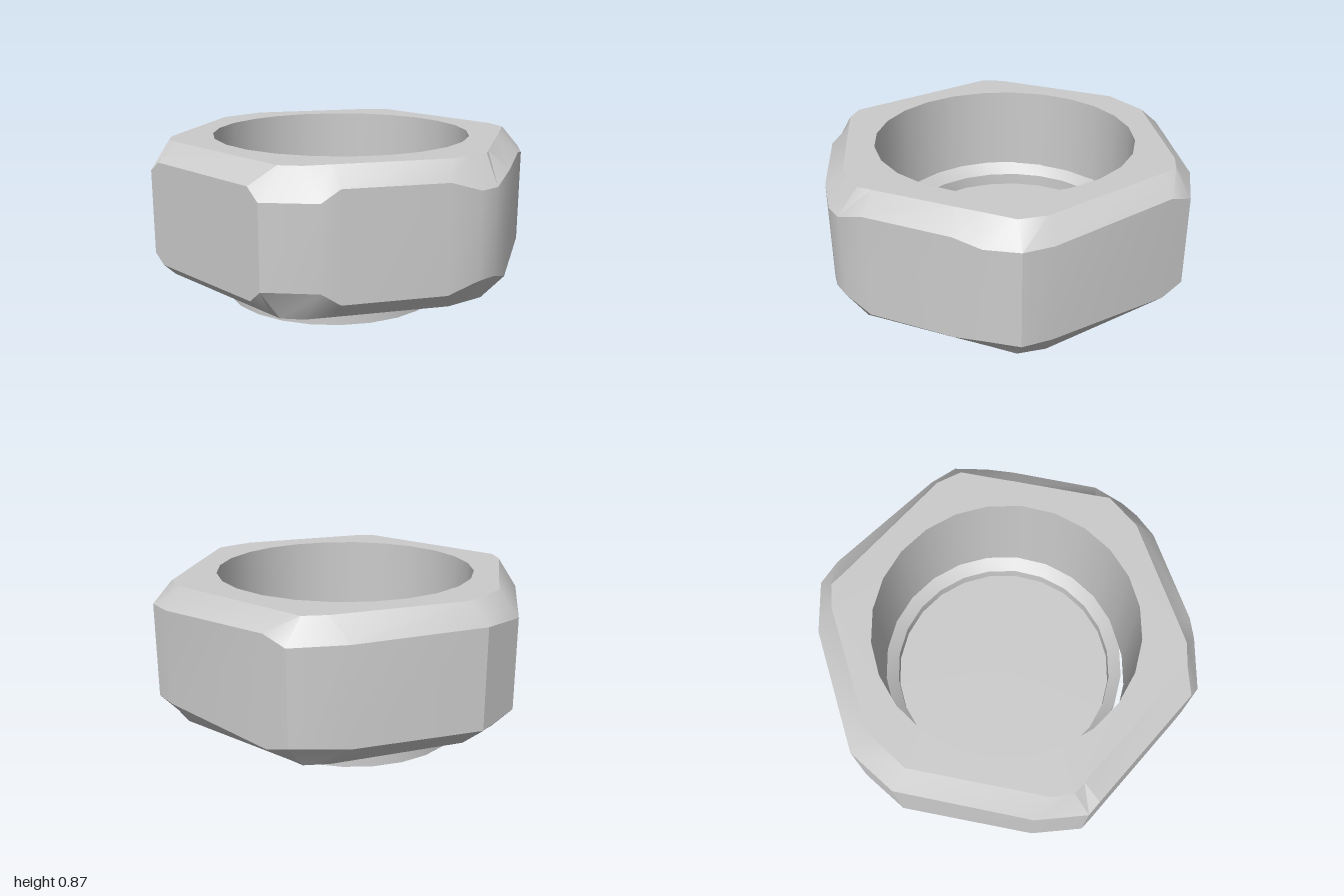
import * as THREE from 'three';
import { toCreasedNormals } from 'three/addons/utils/BufferGeometryUtils.js';

const BOTTOM = 0.16, TOP = 0.87, HOLE_R = 0.675, SIDES = 24;

// Uneven hex outline: outer x, z, cap x, z, and chamfer depth
const OUTLINE = [
  [-0.28, -0.94, -0.24, -0.83, 0.10],
  [0.38, -0.88, 0.43, -0.77, 0.11],
  [0.64, -0.78, 0.55, -0.73, 0.12],
  [0.70, -0.66, 0.58, -0.66, 0.08],
  [0.97, -0.03, 0.89, -0.02, 0.11],
  [1.00, 0.12, 0.90, 0.12, 0.11],
  [0.93, 0.28, 0.81, 0.25, 0.115],
  [0.84, 0.40, 0.73, 0.37, 0.09],
  [0.58, 0.77, 0.49, 0.72, 0.09],
  [0.46, 0.88, 0.45, 0.78, 0.14],
  [0.36, 0.92, 0.35, 0.81, 0.14],
  [0.20, 0.93, 0.25, 0.84, 0.09],
  [-0.30, 0.888, -0.31, 0.792, 0.09],
  [-0.39, 0.88, -0.44, 0.78, 0.15],
  [-0.64, 0.77, -0.54, 0.73, 0.15],
  [-0.67, 0.706, -0.57, 0.666, 0.09],
  [-0.97, 0.065, -0.87, 0.024, 0.09],
  [-1.00, 0.00, -0.90, -0.04, 0.14],
  [-0.92, -0.25, -0.87, -0.15, 0.14],
  [-0.53, -0.82, -0.48, -0.72, 0.12],
];

const grey = new THREE.MeshStandardMaterial({ color: 0xcccccc });
const greyDouble = new THREE.MeshStandardMaterial({ color: 0xcccccc, side: THREE.DoubleSide });

function addMesh(group, name, geometry, material = grey) {
  const mesh = new THREE.Mesh(geometry, material);
  mesh.name = name;
  group.add(mesh);
  return mesh;
}

// Closed band of quads between two matching loops
function band(lower, upper) {
  const positions = [];
  lower.forEach((a, i) => {
    const j = (i + 1) % lower.length;
    positions.push(...lower[j], ...a, ...upper[i], ...lower[j], ...upper[i], ...upper[j]);
  });
  const geometry = new THREE.BufferGeometry();
  geometry.setAttribute('position', new THREE.Float32BufferAttribute(positions, 3));
  return toCreasedNormals(geometry, 0.5);
}

// Flat face with the round bore cut out; dir is +1 facing up, -1 facing down
function capFace(y, dir) {
  const shape = new THREE.Shape(OUTLINE.map(p => new THREE.Vector2(p[2], -dir * p[3])));
  const circle = [];
  for (let i = 0; i < SIDES; i++) {
    const a = (i / SIDES) * Math.PI * 2;
    circle.push(new THREE.Vector2(HOLE_R * Math.sin(a), HOLE_R * Math.cos(a)));
  }
  shape.holes.push(new THREE.Path(circle));
  return new THREE.ShapeGeometry(shape).rotateX(-dir * Math.PI / 2).translate(0, y, 0);
}

export function createModel() {
  const model = new THREE.Group();

  // Chamfered nut
  const nut = new THREE.Group();
  nut.name = 'nut';
  model.add(nut);
  const bottomRim = OUTLINE.map(p => [p[2], BOTTOM, p[3]]);
  const lowEdge = OUTLINE.map(p => [p[0], BOTTOM + p[4], p[1]]);
  const highEdge = OUTLINE.map(p => [p[0], TOP - p[4], p[1]]);
  const topRim = OUTLINE.map(p => [p[2], TOP, p[3]]);
  addMesh(nut, 'lowerChamfer', band(bottomRim, lowEdge));
  addMesh(nut, 'sideFaces', band(lowEdge, highEdge));
  addMesh(nut, 'upperChamfer', band(highEdge, topRim));
  addMesh(nut, 'topFace', capFace(TOP, 1));
  addMesh(nut, 'bottomFace', capFace(BOTTOM, -1));

  // Bore wall
  const bore = new THREE.CylinderGeometry(HOLE_R, HOLE_R, TOP - BOTTOM, SIDES, 1, true);
  addMesh(nut, 'boreWall', bore.translate(0, (TOP + BOTTOM) / 2, 0), greyDouble);

  // Stepped plug sitting slightly off centre inside the bore
  const profile = [
    [0, 0], [0.58, 0], [0.58, 0.085], [0.595, 0.095], [0.64, 0.11],
    [0.64, 0.42], [0.58, 0.365], [0.58, 0.30], [0, 0.30],
  ].map(([r, y]) => new THREE.Vector2(r, y));
  const plug = addMesh(model, 'plug',
    toCreasedNormals(new THREE.LatheGeometry(profile, SIDES), 0.6), greyDouble);
  plug.position.set(-0.03, 0, -0.03);

  // Centre the whole footprint on z
  model.children.forEach(part => { part.position.z += 0.005; });
  return model;
}
